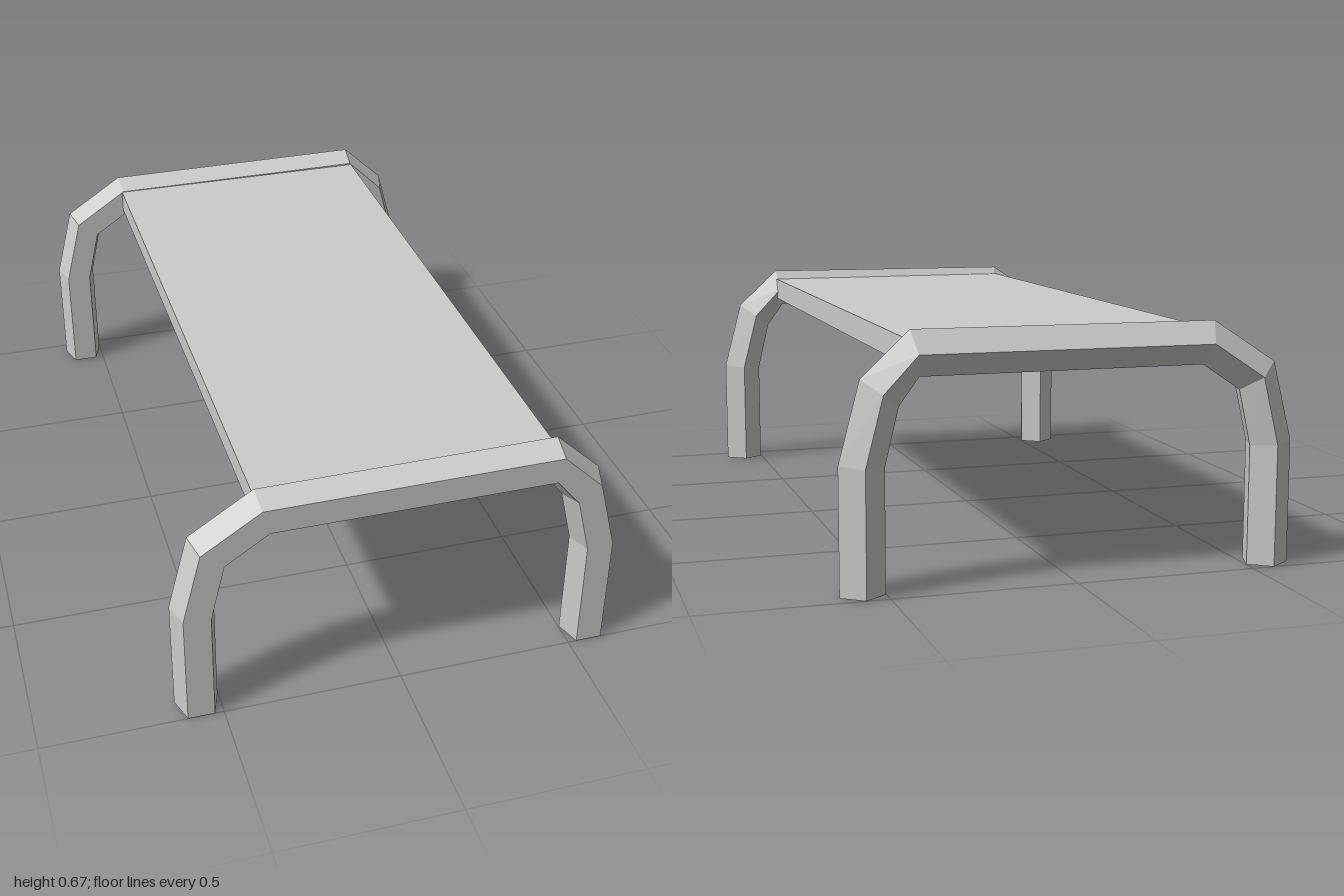
import * as THREE from 'three';

const material = new THREE.MeshStandardMaterial({ color: 0xcccccc, flatShading: true });

// Hoop stations from one foot to the other: outer edge x, y and inner edge x, y
const stations = [
  [-0.622, 0, -0.502, 0],
  [-0.622, 0.337, -0.502, 0.327],
  [-0.567, 0.553, -0.467, 0.48],
  [-0.39, 0.668, -0.36, 0.552],
  [0.436, 0.672, 0.412, 0.552],
  [0.565, 0.552, 0.465, 0.48],
  [0.622, 0.337, 0.502, 0.327],
  [0.622, 0, 0.502, 0],
];
const RADIUS = 0.063;
const SIDES = 5;

// Pentagonal bar swept through the stations, flat side towards +z
function hoopGeometry() {
  const rings = stations.map(([ox, oy, ix, iy]) => {
    const ring = [];
    for (let k = 0; k < SIDES; k++) {
      const a = -Math.PI / 2 + (k * 2 * Math.PI) / SIDES;
      const u = Math.cos(a) / Math.cos(Math.PI / 10) / 2;
      ring.push([
        (ox + ix) / 2 + (ox - ix) * u,
        (oy + iy) / 2 + (oy - iy) * u,
        RADIUS * Math.sin(a),
      ]);
    }
    return ring;
  });
  const positions = [];
  const tri = (a, b, c) => positions.push(...a, ...b, ...c);
  for (let i = 0; i < rings.length - 1; i++) {
    const p = rings[i], q = rings[i + 1];
    for (let k = 0; k < SIDES; k++) {
      const n = (k + 1) % SIDES;
      tri(p[k], p[n], q[n]);
      tri(p[k], q[n], q[k]);
    }
  }
  // Foot caps
  const first = rings[0], last = rings[rings.length - 1];
  for (let k = 1; k < SIDES - 1; k++) {
    tri(first[0], first[k + 1], first[k]);
    tri(last[0], last[k], last[k + 1]);
  }
  const geometry = new THREE.BufferGeometry();
  geometry.setAttribute('position', new THREE.Float32BufferAttribute(positions, 3));
  geometry.computeVertexNormals();
  return geometry;
}

export function createModel() {
  const model = new THREE.Group();
  model.name = 'bench';

  // Two identical leg hoops, both facing the same way
  const geometry = hoopGeometry();
  for (const [name, z] of [['frontLegHoop', 0.949], ['backLegHoop', -0.937]]) {
    const hoop = new THREE.Mesh(geometry, material);
    hoop.name = name;
    hoop.position.z = z;
    model.add(hoop);
  }

  // Flat slab spanning the hoops
  const slab = new THREE.Mesh(new THREE.BoxGeometry(0.825, 0.068, 1.8), material);
  slab.name = 'seat';
  slab.position.set(0.023, 0.61, 0.006);
  model.add(slab);

  return model;
}
